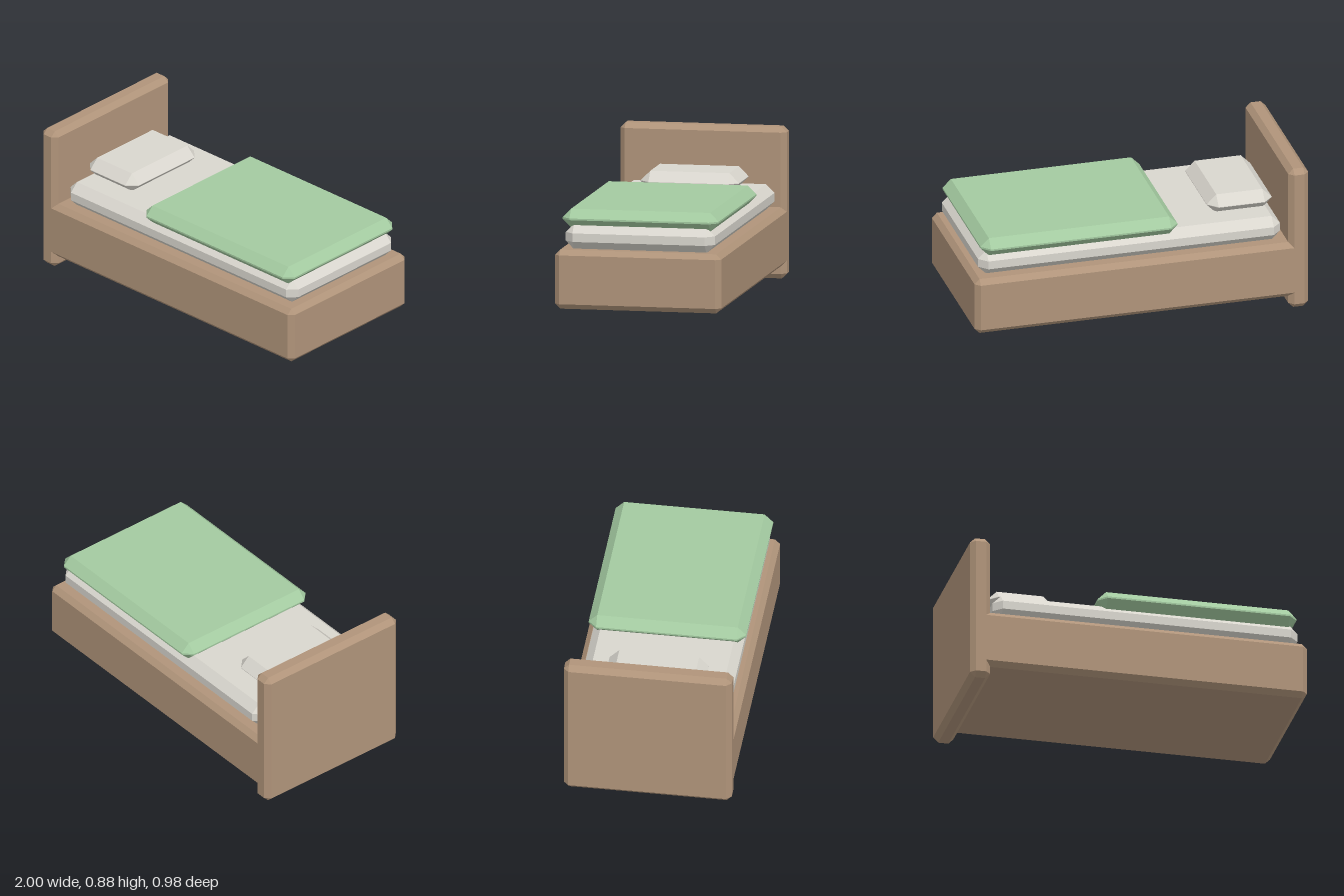
import * as THREE from 'three';
import { ConvexGeometry } from 'three/addons/geometries/ConvexGeometry.js';

// Box between x0..x1, y0..y1 and -hz..hz with every edge cut at 45 degrees
function chamferedBox(x0, x1, y0, y1, hz, c) {
  const half = [(x1 - x0) / 2, (y1 - y0) / 2, hz];
  const points = [];
  for (const sx of [-1, 1]) for (const sy of [-1, 1]) for (const sz of [-1, 1]) {
    const signs = [sx, sy, sz];
    // each corner becomes three points, one on each adjoining face
    for (let face = 0; face < 3; face++) {
      points.push(new THREE.Vector3(...half.map((h, i) => signs[i] * (i === face ? h : h - c))));
    }
  }
  const geometry = new ConvexGeometry(points);
  geometry.translate((x0 + x1) / 2, (y0 + y1) / 2, 0);
  return geometry;
}

export function createModel() {
  const bed = new THREE.Group();
  bed.name = 'bed';

  const material = (name, color) => {
    const m = new THREE.MeshStandardMaterial({ color });
    m.name = name;
    return m;
  };
  const wood = material('wood', 0xb0947a);
  const linen = material('linen', 0xd9d6ce);
  const green = material('greenCloth', 0xa3caa0);

  const add = (name, mat, ...size) => {
    const mesh = new THREE.Mesh(chamferedBox(...size), mat);
    mesh.name = name;
    bed.add(mesh);
  };

  // Wooden parts
  add('headboard', wood, -1, -0.88, 0, 0.885, 0.49, 0.03);
  add('bedFrame', wood, -0.94, 1, 0.075, 0.42, 0.49, 0.03);

  // Bedding
  add('mattress', linen, -0.85, 0.96, 0.415, 0.565, 0.44, 0.05);
  add('pillow', linen, -0.845, -0.455, 0.55, 0.667, 0.29, 0.057);
  add('blanket', green, -0.23, 0.95, 0.54, 0.65, 0.46, 0.05);

  return bed;
}
